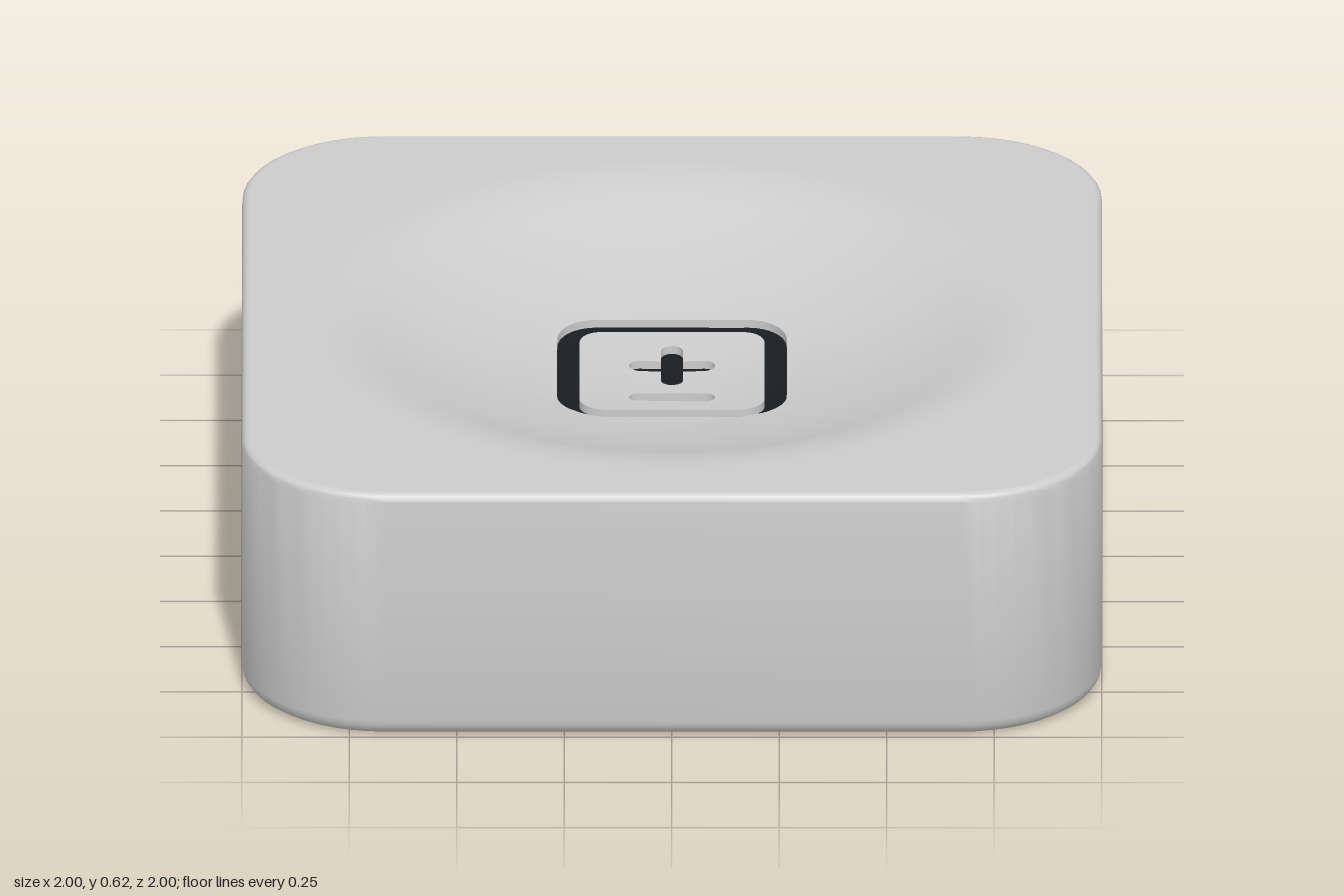
import * as THREE from 'three';
import { toCreasedNormals } from 'three/addons/utils/BufferGeometryUtils.js';

const TOP = 0.62, DEPTH = 0.165, DISH_R = 0.77, PLATE_R = 0.42;
const CURVE = DEPTH / DISH_R ** 2;

const grey = new THREE.MeshStandardMaterial({ color: 0xcccccc });
const black = new THREE.MeshStandardMaterial({ color: 0x1a1d20 });

// Height of the dished top at radius r, softly blended into the flat rim
function dishY(r) {
  const bowl = TOP - DEPTH + CURVE * r * r, k = 0.035;
  const h = Math.max(k - Math.abs(bowl - TOP), 0) / k;
  return Math.min(bowl, TOP) - h * h * k / 4;
}

function arc(cx, cy, r, from, to, n) {
  return Array.from({ length: n + 1 }, (_, i) => {
    const a = from + (to - from) * i / n;
    return new THREE.Vector2(cx + r * Math.cos(a), cy + r * Math.sin(a));
  });
}

function circle(r, n = 96) {
  return arc(0, 0, r, 0, Math.PI * 2, n).slice(0, n);
}

function roundedSquare(half, r, n = 12) {
  const c = half - r, q = Math.PI / 2;
  return [[c, c], [-c, c], [-c, -c], [c, -c]]
    .flatMap(([x, y], i) => arc(x, y, r, i * q, (i + 1) * q, n));
}

// Round-ended bar, or a plus when arms = 4
function strokes(arms, reach, w, y) {
  const pts = [];
  for (let k = 0; k < arms; k++) {
    const a = k * Math.PI * 2 / arms;
    const arm = arc(reach - w, 0, w, -Math.PI / 2, Math.PI / 2, 10);
    if (arms === 4) arm.push(new THREE.Vector2(w, w));
    arm.forEach(p => pts.push(p.rotateAround(new THREE.Vector2(), a).add(new THREE.Vector2(0, y))));
  }
  return pts;
}

function shapeOf(outline, ...holes) {
  const s = new THREE.Shape(outline);
  s.holes = holes.map(h => new THREE.Path(h));
  return s;
}

// Slab that follows the curve of the dish, its top lowered by drop
function dishSlab(shape, thickness, drop) {
  const g = toCreasedNormals(
    new THREE.ExtrudeGeometry(shape, { depth: thickness, bevelEnabled: false }).rotateX(-Math.PI / 2), 0.6);
  const p = g.attributes.position, n = g.attributes.normal, v = new THREE.Vector3();
  for (let i = 0; i < p.count; i++) {
    const x = p.getX(i), z = p.getZ(i);
    p.setY(i, p.getY(i) - thickness - drop + dishY(Math.hypot(x, z)));
    if (n.getY(i) > 0.9) {
      v.set(-2 * CURVE * x, 1, -2 * CURVE * z).normalize();
      n.setXYZ(i, v.x, v.y, v.z);
    }
  }
  return g;
}

// Rounded-square rings joined along a profile of [inset, y]
function loftSquare(profile) {
  const pos = [], idx = [];
  let n = 0;
  profile.forEach(([inset, y], i) => {
    const ring = roundedSquare(1 - inset, 0.33 - inset);
    n = ring.length;
    ring.forEach(p => pos.push(p.x, y, -p.y));
    if (i === 0) return;
    for (let j = 0; j < n; j++) {
      const a = (i - 1) * n + j, b = (i - 1) * n + (j + 1) % n;
      idx.push(a, b, a + n, b, b + n, a + n);
    }
  });
  const g = new THREE.BufferGeometry();
  g.setAttribute('position', new THREE.Float32BufferAttribute(pos, 3));
  g.setIndex(idx);
  return toCreasedNormals(g, 0.6);
}

export function createModel() {
  const group = new THREE.Group();
  const add = (name, geometry, material = grey, y = 0) => {
    const m = new THREE.Mesh(geometry, material);
    m.name = name;
    m.position.y = y;
    group.add(m);
  };

  // Shell: cavity wall, bottom rim, rounded lower edge, side, rounded upper edge
  const lower = arc(0.04, 0.04, 0.04, -Math.PI / 2, -Math.PI, 4).map(p => [p.x, p.y]);
  const upper = arc(0.02, TOP - 0.02, 0.02, Math.PI, Math.PI / 2, 4).map(p => [p.x, p.y]);
  add('shell', loftSquare([[0.18, 0.32], [0.18, 0], ...lower, ...upper]));

  // Flat top rim around the dish
  add('topRim', new THREE.ShapeGeometry(
    shapeOf(roundedSquare(0.98, 0.31), circle(0.86))).rotateX(-Math.PI / 2), grey, TOP);

  // Outer part of the dish
  const profile = Array.from({ length: 25 }, (_, i) => {
    const r = 0.86 + (PLATE_R - 0.86) * i / 24;
    return new THREE.Vector2(r, dishY(r));
  });
  add('dish', new THREE.LatheGeometry(profile, 96));

  // Dish centre with engraved grooves
  const frameOut = roundedSquare(0.267, 0.11), frameIn = roundedSquare(0.215, 0.058);
  const cross = strokes(4, 0.1, 0.026, 0.065), bar = strokes(2, 0.1, 0.026, -0.115);
  add('dishCentre', dishSlab(shapeOf(circle(PLATE_R), frameOut), 0.05, 0));
  add('dishIsland', dishSlab(shapeOf(frameIn, cross, bar), 0.05, 0));

  // Dark inlays at the bottom of the grooves
  add('frameInlay', dishSlab(shapeOf(frameOut, frameIn), 0.02, 0.02), black);
  add('crossInlay', dishSlab(shapeOf(cross), 0.02, 0.02), black);
  add('barInlay', dishSlab(shapeOf(bar), 0.02, 0.02), black);

  // Underside: cavity ceiling and stem with a cross-shaped socket
  add('cavityCeiling', new THREE.ShapeGeometry(
    shapeOf(roundedSquare(0.82, 0.15))).rotateX(Math.PI / 2), grey, 0.32);
  const L = 0.22, w = 0.065;
  const socket = [0, 1, 2, 3].flatMap(k => [[L, -w], [L, w], [w, w]].map(([x, y]) =>
    new THREE.Vector2(x, y).rotateAround(new THREE.Vector2(), k * Math.PI / 2)));
  add('stem', toCreasedNormals(new THREE.ExtrudeGeometry(shapeOf(circle(0.3, 64), socket),
    { depth: 0.305, bevelEnabled: false }).rotateX(-Math.PI / 2), 0.6), grey, 0.015);

  return group;
}
